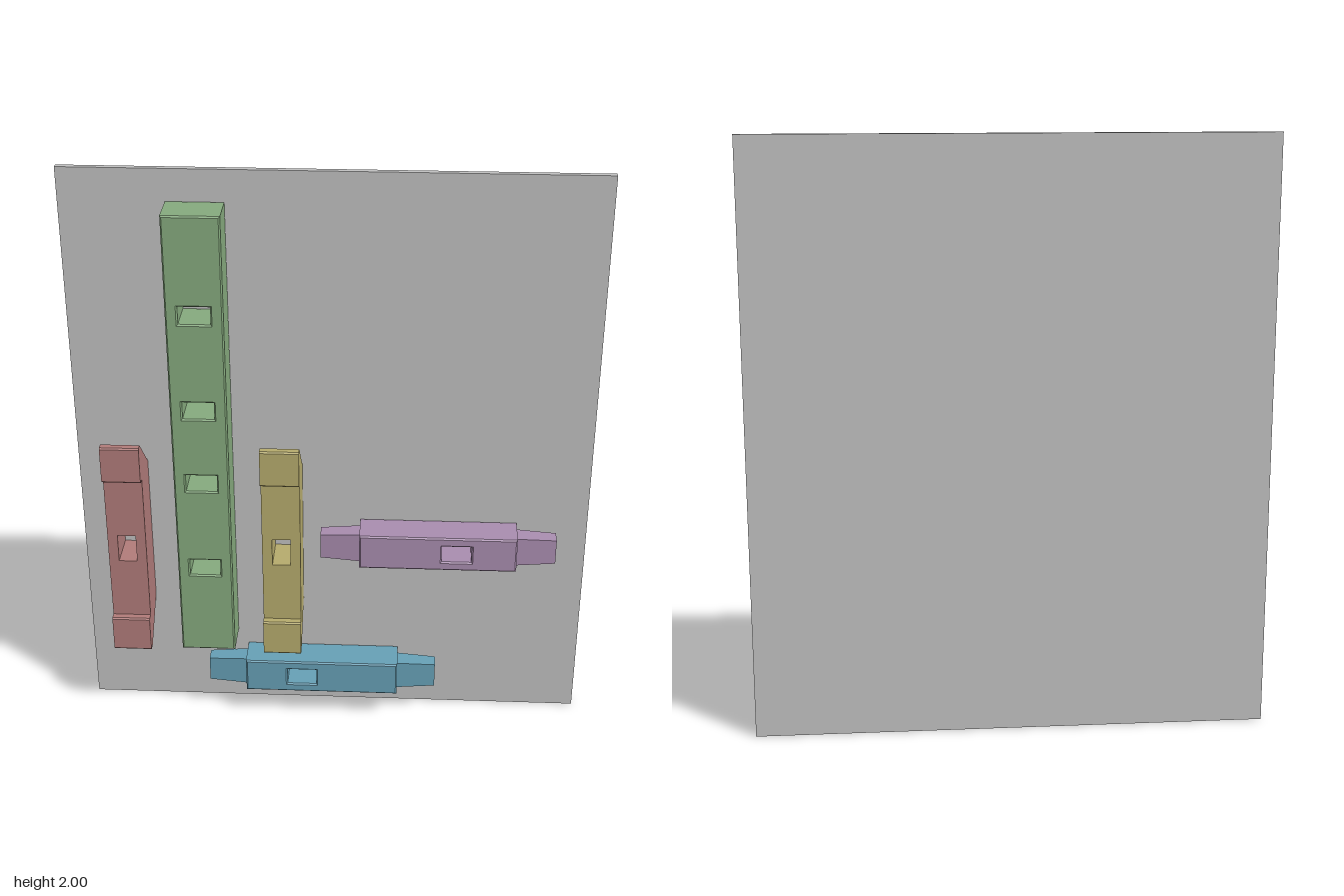
import * as THREE from 'three';

const BACK = -0.07; // front surface of the board, where every part rests
const BEVEL = 0.005;

const material = (name, color) => new THREE.MeshStandardMaterial({ name, color });

function rectPath(path, x0, y0, x1, y1) {
  path.moveTo(x0, y0);
  path.lineTo(x1, y0);
  path.lineTo(x1, y1);
  path.lineTo(x0, y1);
  path.closePath();
  return path;
}

// Bar with rectangular through-holes, standing on the board and facing +z
function mortisedBar(rect, front, holes, bevelEnabled = true) {
  const shape = rectPath(new THREE.Shape(), ...rect);
  for (const h of holes) shape.holes.push(rectPath(new THREE.Path(), ...h));
  const b = bevelEnabled ? BEVEL : 0;
  const geo = new THREE.ExtrudeGeometry(shape, {
    depth: front - BACK - 2 * b, bevelEnabled, bevelSegments: 1,
    bevelSize: b, bevelThickness: b, bevelOffset: -b,
  });
  return geo.translate(0, 0, BACK + b);
}

// Box running outward along x whose tip is narrower than its root
function tenonGeometry(rootX, tipX, y) {
  const geo = new THREE.BoxGeometry(Math.abs(tipX - rootX), 0.104, 0.064);
  const dir = Math.sign(tipX - rootX);
  const p = geo.attributes.position;
  for (let i = 0; i < p.count; i++) {
    if (p.getX(i) * dir > 0) {
      p.setY(i, p.getY(i) * 0.87);
      p.setZ(i, p.getZ(i) * 0.78);
    }
  }
  geo.translate((rootX + tipX) / 2, y, -0.01);
  geo.computeVertexNormals();
  return geo;
}

function add(parent, name, geo, mat) {
  const mesh = new THREE.Mesh(geo, mat);
  mesh.name = name;
  parent.add(mesh);
  return mesh;
}

// Upright bracket: mortised middle and two angled ends with raised lips
function bracket(name, cx, mat) {
  const group = new THREE.Group();
  group.name = name;
  const w = 0.13, mid = 0.7, half = 0.27, end = 0.4, step = 0.063, lip = 0.09;
  add(group, 'bracketBody', mortisedBar(
    [cx - w / 2, mid - half, cx + w / 2, mid + half], step,
    [[cx - 0.031, mid - 0.05, cx + 0.031, mid + 0.05]], false), mat);
  for (const s of [1, -1]) {
    // Side profile: shape x maps to -z, extruded along x
    const pts = [[BACK, half], [step, half], [lip - BEVEL, half], [lip, half + BEVEL],
      [lip, end - BEVEL], [lip - BEVEL, end], [step, end]];
    const shape = new THREE.Shape(pts.map(([z, y]) => new THREE.Vector2(-z, mid + s * y)));
    const geo = new THREE.ExtrudeGeometry(shape, { depth: w, bevelEnabled: false });
    geo.rotateY(Math.PI / 2).translate(cx - w / 2, 0, 0);
    add(group, s > 0 ? 'upperLip' : 'lowerLip', geo, mat);
  }
  return group;
}

// Horizontal rail with a tapered tenon at each end
function rail(name, x0, x1, y, hole, mat) {
  const group = new THREE.Group();
  group.name = name;
  add(group, 'railBody', mortisedBar([x0, y - 0.063, x1, y + 0.063], 0.05,
    [[hole[0], y - 0.03, hole[1], y + 0.03]]), mat);
  add(group, 'rightTenon', tenonGeometry(x0, x0 - 0.133, y), mat);
  add(group, 'leftTenon', tenonGeometry(x1, x1 + 0.133, y), mat);
  return group;
}

export function createModel() {
  const model = new THREE.Group();
  model.name = 'partsBoard';

  const grey = material('grey', 0xbfbfbf);
  const green = material('green', 0x85a97d);
  const red = material('red', 0xb07b79);
  const yellow = material('yellow', 0xb5aa6c);
  const purple = material('purple', 0xa88cae);
  const blue = material('blue', 0x669fb5);

  // Backing board
  add(model, 'board', new THREE.BoxGeometry(1.73, 2, 0.02).translate(0, 1, -0.08), grey);

  // Tall post with four mortises
  const holes = [0.63, 0.96, 1.23, 1.565].map((y) => [-0.485, y - 0.03, -0.381, y + 0.03]);
  add(model, 'post', mortisedBar([-0.525, 0.292, -0.34, 1.895], 0.063, holes), green);

  // Matching brackets
  model.add(bracket('outerBracket', -0.696, red));
  model.add(bracket('innerBracket', -0.171, yellow));

  // Tenoned rails
  model.add(rail('upperRail', 0.092, 0.625, 0.7, [0.372, 0.472], purple));
  model.add(rail('lowerRail', -0.305, 0.23, 0.172, [-0.158, -0.056], blue));

  return model;
}
